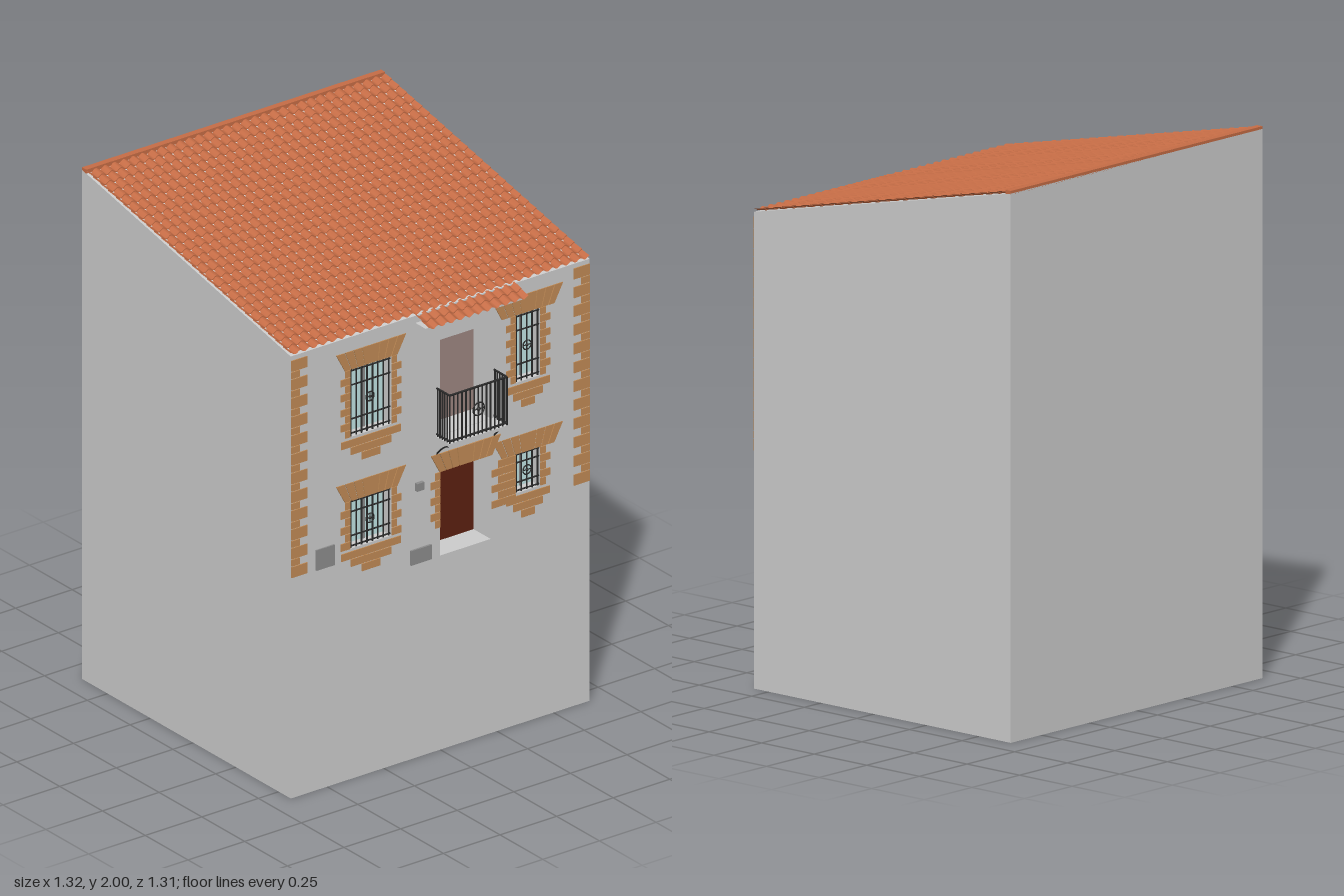
import * as THREE from 'three';
import { toCreasedNormals } from 'three/addons/utils/BufferGeometryUtils.js';

const mat = (color, side = THREE.FrontSide) => new THREE.MeshStandardMaterial({ color, side });
const M = {
  wall: mat(0xcccccc), stone: mat(0xc08a55), tile: mat(0xc56c45, THREE.DoubleSide), iron: mat(0x2a2a2a),
  glass: mat(0xc0e4e4), door: mat(0x5c2010), shutter: mat(0x9c8580), box: mat(0x8c8c8c),
};
const W = 0.66, FRONT = 0.57, BACK = -0.65, DEPTH = 0.11;
const roofY = z => 1.728 + (FRONT - z) * 0.215;

function add(parent, name, geometry, material) {
  const mesh = new THREE.Mesh(geometry, material);
  mesh.name = name;
  parent.add(mesh);
  return mesh;
}

// box given by its limits on each axis
function block(parent, name, material, x0, x1, y0, y1, z0, z1) {
  const mesh = add(parent, name, new THREE.BoxGeometry(x1 - x0, y1 - y0, z1 - z0), material);
  mesh.position.set((x0 + x1) / 2, (y0 + y1) / 2, (z0 + z1) / 2);
  return mesh;
}

function group(parent, name) {
  const g = new THREE.Group();
  g.name = name;
  parent.add(g);
  return g;
}

// corrugated sheet of overlapping tile rows following a slope
function tiles(parent, name, x0, x1, z0, z1, rows, slope) {
  const pitch = 0.0413, cols = Math.round((x1 - x0) / pitch), nx = cols * 8;
  const g = new THREE.PlaneGeometry(x1 - x0, 1, nx, rows * 2 - 1);
  g.rotateX(-Math.PI / 2);
  const p = g.attributes.position;
  for (let i = 0; i < p.count; i++) {
    const line = Math.floor(i / (nx + 1)), low = line % 2;
    const z = z0 + (z1 - z0) * (Math.floor(line / 2) + low) / rows;
    const wave = 0.005 * Math.cos((i % (nx + 1)) / 8 * Math.PI * 2);
    p.setXYZ(i, p.getX(i) + (x0 + x1) / 2, slope(z) + wave + low * 0.004, z);
  }
  return add(parent, name, toCreasedNormals(g, 0.9), M.tile);
}

// one course of n bricks standing just proud of the wall
function course(parent, x0, x1, y0, y1, n = 1) {
  const w = (x1 - x0) / n, gap = 0.0015;
  for (let i = 0; i < n; i++)
    block(parent, 'brick', M.stone, x0 + i * w + gap, x0 + (i + 1) * w - gap, y0 + gap, y1 - gap, FRONT - 0.01, FRONT + 0.004);
}

// toothed column of bricks beside an opening; dir points away from it
function jamb(parent, x, dir, y0, y1, wide = 0.045, narrow = 0.025, n = 1) {
  const rows = Math.round((y1 - y0) / 0.031), h = (y1 - y0) / rows;
  for (let r = 0; r < rows; r++) {
    const end = x + dir * (r % 2 ? wide : narrow);
    course(parent, Math.min(x, end), Math.max(x, end), y1 - (r + 1) * h, y1 - r * h, n);
  }
}

// flat arch of splayed stones
function lintel(parent, cx, y0, y1, proud = 0.004, n = 8) {
  const top = 0.155, bottom = 0.117, gap = 0.0015;
  for (let i = 0; i < n; i++) {
    const a = (i / n) * 2 - 1, b = ((i + 1) / n) * 2 - 1;
    const s = new THREE.Shape([[a * bottom + gap, y0], [b * bottom - gap, y0], [b * top - gap, y1], [a * top + gap, y1]]
      .map(([x, y]) => new THREE.Vector2(cx + x, y)));
    const g = new THREE.ExtrudeGeometry(s, { depth: 0.01 + proud, bevelEnabled: false });
    add(parent, 'lintelStone', g.translate(0, 0, FRONT - 0.01), M.stone);
  }
}

function bar(parent, a, b, r = 0.003) {
  const from = new THREE.Vector3(...a), to = new THREE.Vector3(...b);
  const mesh = add(parent, 'bar', new THREE.CylinderGeometry(r, r, from.distanceTo(to), 6), M.iron);
  mesh.position.copy(from).lerp(to, 0.5);
  mesh.quaternion.setFromUnitVectors(new THREE.Vector3(0, 1, 0), to.sub(from).normalize());
}

// ring with a small cross
function rosette(parent, x, y, z, r) {
  add(parent, 'rosette', new THREE.TorusGeometry(r, 0.0025, 6, 20), M.iron).position.set(x, y, z);
  add(parent, 'rosetteBoss', new THREE.SphereGeometry(r * 0.3, 8, 6), M.iron).position.set(x, y, z);
  bar(parent, [x - r, y, z], [x + r, y, z], 0.002);
  bar(parent, [x, y - r, z], [x, y + r, z], 0.002);
}

const windows = [
  { name: 'upperRightWindow', x0: -0.397, x1: -0.217, y0: 1.337, y1: 1.602, bars: 8 },
  { name: 'upperLeftWindow', x0: 0.333, x1: 0.44, y0: 1.337, y1: 1.602, bars: 5 },
  { name: 'lowerRightWindow', x0: -0.397, x1: -0.217, y0: 0.9, y1: 1.088, bars: 8 },
  { name: 'lowerLeftWindow', x0: 0.333, x1: 0.44, y0: 0.905, y1: 1.058, bars: 5, joined: true },
];
const door = { x0: 0, x1: 0.223, y0: 0.759, y1: 1.088 };
const balconyDoor = { x0: 0, x1: 0.223, y0: 1.23, y1: 1.602 };

function buildWalls(house) {
  // solid core from its side profile
  const zc = FRONT - DEPTH;
  const side = new THREE.Shape([[-zc, 0], [-BACK, 0], [-BACK, 1.99], [0.63, 1.986], [-zc, roofY(zc)]]
    .map(([x, y]) => new THREE.Vector2(x, y)));
  const core = new THREE.ExtrudeGeometry(side, { depth: 2 * W, bevelEnabled: false });
  add(house, 'walls', core.rotateY(Math.PI / 2).translate(-W, 0, 0), M.wall);

  // front wall with openings, its top cut to the roof slope
  const face = new THREE.Shape([[-W, 0], [W, 0], [W, 1.74], [-W, 1.74]].map(([x, y]) => new THREE.Vector2(x, y)));
  for (const o of [...windows, door, balconyDoor])
    face.holes.push(new THREE.Path([[o.x0, o.y0], [o.x0, o.y1], [o.x1, o.y1], [o.x1, o.y0]]
      .map(([x, y]) => new THREE.Vector2(x, y))));
  const g = new THREE.ExtrudeGeometry(face, { depth: DEPTH, bevelEnabled: false }).translate(0, 0, zc);
  const p = g.attributes.position;
  for (let i = 0; i < p.count; i++) if (p.getY(i) > 1.7) p.setY(i, roofY(p.getZ(i)));
  g.computeVertexNormals();
  add(house, 'frontWall', g, M.wall);
}

function buildWindow(house, o) {
  const g = group(house, o.name), cx = (o.x0 + o.x1) / 2, cy = (o.y0 + o.y1) / 2, z = FRONT - 0.006;
  block(g, 'glass', M.glass, o.x0, o.x1, o.y0, o.y1, FRONT - DEPTH, FRONT - 0.045);
  block(g, 'mullion', M.box, cx - 0.004, cx + 0.004, o.y0, o.y1, FRONT - 0.05, FRONT - 0.04);
  // grille
  for (let i = 0; i < o.bars; i++) {
    const x = o.x0 + 0.006 + (o.x1 - o.x0 - 0.012) * i / (o.bars - 1);
    bar(g, [x, o.y0, z], [x, o.y1, z]);
  }
  for (const t of [0.04, 0.25, 0.75, 0.96]) {
    const y = o.y0 + (o.y1 - o.y0) * t;
    bar(g, [o.x0, y, z], [o.x1, y, z]);
  }
  rosette(g, cx, cy, z + 0.002, 0.018);
  // stone surround
  lintel(g, cx, o.y1, o.y1 + 0.071, o.joined ? 0.003 : 0.004);
  jamb(g, o.x1, 1, o.y0, o.y1);
  if (o.joined) jamb(g, o.x0, -1, o.y0 - 0.03, o.y1, 0.108, 0.08, 2);
  else jamb(g, o.x0, -1, o.y0, o.y1);
  const half = (o.x1 - o.x0) / 2 + 0.043;
  [[half, 4], [half * 0.68, 3], [half * 0.32, 2]].forEach(([w, n], r) =>
    course(g, cx - w, cx + w, o.y0 - 0.04 - r * 0.031, o.y0 - 0.009 - r * 0.031, n));
}

function buildDoor(house) {
  const g = group(house, 'entrance');
  block(g, 'door', M.door, door.x0, door.x1, door.y0, door.y1, FRONT - DEPTH, FRONT - 0.1);
  lintel(g, 0.111, door.y1, door.y1 + 0.071, 0.005);
  jamb(g, door.x0, -1, 0.87, door.y1);
}

function buildBalcony(house) {
  const g = group(house, 'balcony'), x0 = -0.015, x1 = 0.238, z1 = 0.645, low = 1.238, top = 1.417;
  block(g, 'balconyDoor', M.shutter, balconyDoor.x0, balconyDoor.x1, balconyDoor.y0, balconyDoor.y1, FRONT - DEPTH, FRONT - 0.1);
  block(g, 'floor', M.wall, x0 - 0.004, x1 + 0.004, 1.217, 1.229, FRONT - 0.01, z1 + 0.004);
  // front and side railings
  for (let i = 0; i <= 14; i++) {
    const x = x0 + (x1 - x0) * i / 14;
    bar(g, [x, 1.228, z1], [x, top, z1]);
  }
  for (const x of [x0, x1]) {
    for (let i = 0; i < 5; i++) bar(g, [x, 1.228, FRONT + 0.005 + i * 0.014], [x, top, FRONT + 0.005 + i * 0.014]);
    for (const y of [low, top]) bar(g, [x, y, FRONT], [x, y, z1], 0.004);
    // curved support bracket
    const curve = new THREE.QuadraticBezierCurve3(new THREE.Vector3(x, 1.218, z1),
      new THREE.Vector3(x, 1.205, 0.605), new THREE.Vector3(x, 1.16, FRONT));
    add(g, 'bracket', new THREE.TubeGeometry(curve, 10, 0.003, 6), M.iron);
  }
  for (const y of [low, top]) bar(g, [x0, y, z1], [x1, y, z1], 0.004);
  rosette(g, 0.111, 1.33, z1 + 0.003, 0.025);
}

function buildQuoins(house) {
  const g = group(house, 'cornerStones'), step = 0.0733;
  for (let i = 0; i < 12; i++) {
    const y = 1.712 - i * step;
    for (const s of [-1, 1]) {
      const row = (w, a, b) => course(g, Math.min(s * W, s * (W - w)), Math.max(s * W, s * (W - w)), a, b);
      row(0.073, y - 0.045, y);
      if (i < 11) row(0.04, y - step, y - 0.045);
    }
  }
}

function buildRoof(house) {
  tiles(house, 'roofTiles', -W, W, -0.63, FRONT, 27, z => roofY(z) + 0.004);
  block(house, 'ridge', M.tile, -W, W, 1.985, 2, BACK, -0.625);
  // small canopy over the balcony
  const g = group(house, 'canopy');
  tiles(g, 'canopyTiles', -0.11, 0.33, 0.565, 0.65, 2, z => 1.728 - (z - 0.565) * 0.31);
  block(g, 'canopySlab', M.wall, -0.11, 0.33, 1.69, 1.7, FRONT - 0.01, 0.63);
}

export function createModel() {
  const house = new THREE.Group();
  house.name = 'house';
  buildWalls(house);
  windows.forEach(o => buildWindow(house, o));
  buildDoor(house);
  buildBalcony(house);
  buildQuoins(house);
  buildRoof(house);
  // wall boxes
  block(house, 'meterBox', M.box, -0.55, -0.47, 0.86, 0.94, FRONT - 0.01, 0.576);
  block(house, 'mailBox', M.box, -0.134, -0.042, 0.76, 0.817, FRONT - 0.01, 0.578);
  block(house, 'doorbell', M.box, -0.112, -0.08, 1.045, 1.075, FRONT - 0.01, 0.584);
  return house;
}
